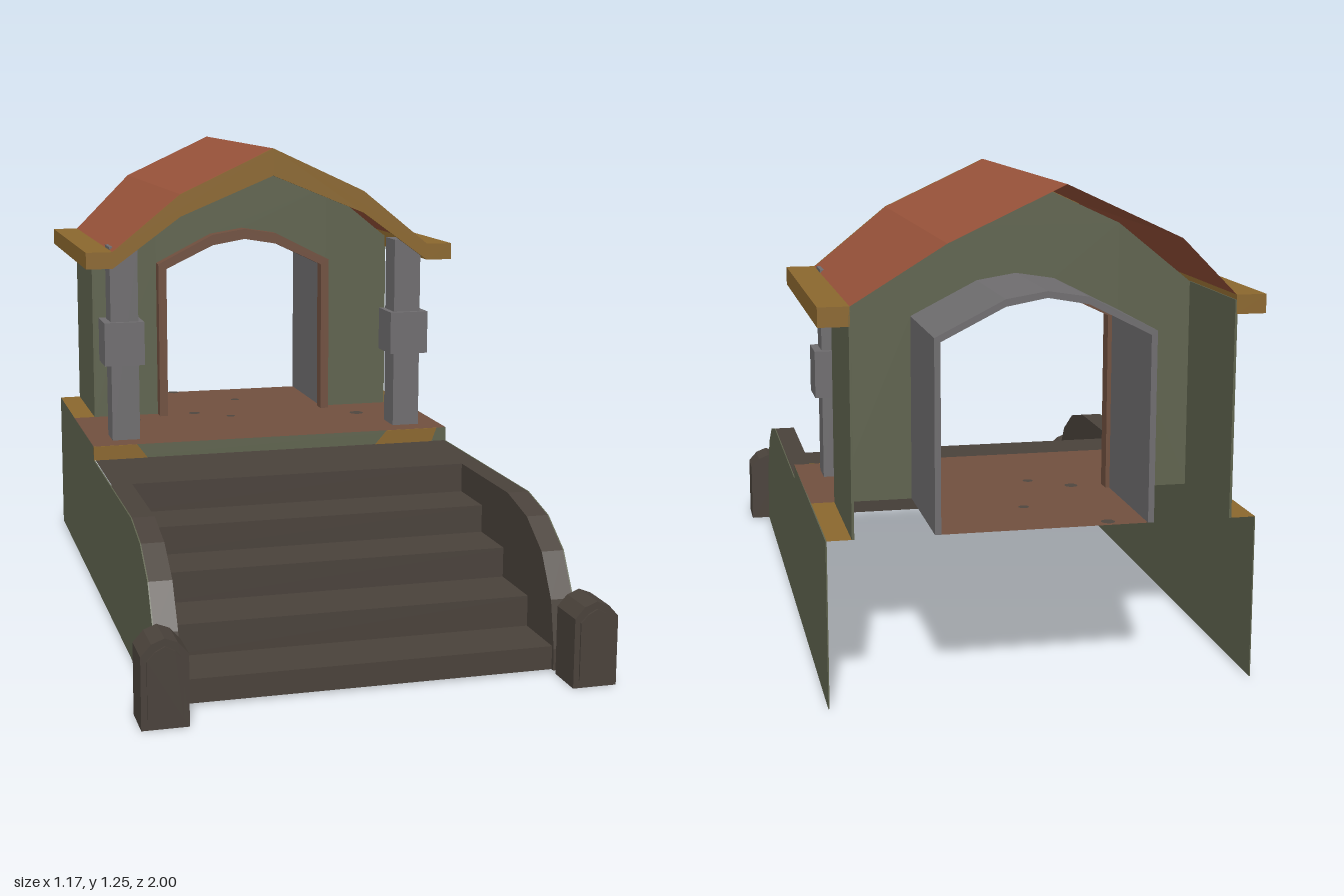
import * as THREE from 'three';

const mat = (name, color) => {
  const m = new THREE.MeshStandardMaterial({ color, side: THREE.DoubleSide });
  m.name = name;
  return m;
};

export function createModel() {
  const root = new THREE.Group();
  root.name = 'porchWithStairs';

  const green = mat('mossGreenPlaster', 0x5f634e);
  const stone = mat('darkStone', 0x4a423b);
  const grey = mat('greyStone', 0x6f6d6f);
  const red = mat('terracottaRoof', 0x99533a);
  const amber = mat('amberTrim', 0x8b672e);
  const floorBrown = mat('brownFloor', 0x71503f);
  const frameBrown = mat('brownDoorFrame', 0x70503f);
  const spotGrey = mat('floorSpots', 0x4f463f);

  const add = (name, geometry, material) => {
    const mesh = new THREE.Mesh(geometry, material);
    mesh.name = name;
    root.add(mesh);
    return mesh;
  };
  // Box given by its extents
  const box = (name, x0, x1, y0, y1, z0, z1, material) => {
    const g = new THREE.BoxGeometry(x1 - x0, y1 - y0, z1 - z0);
    g.translate((x0 + x1) / 2, (y0 + y1) / 2, (z0 + z1) / 2);
    return add(name, g, material);
  };
  // Sheet made of four-cornered faces
  const sheet = (name, quads, material) => {
    const pos = [];
    for (const [a, b, c, d] of quads) pos.push(...a, ...b, ...c, ...a, ...c, ...d);
    const g = new THREE.BufferGeometry();
    g.setAttribute('position', new THREE.Float32BufferAttribute(pos, 3));
    g.computeVertexNormals();
    return add(name, g, material);
  };
  const flat = (x0, x1, z0, z1, y) => [[x0, y, z1], [x1, y, z1], [x1, y, z0], [x0, y, z0]];
  const shape = (pts) => new THREE.Shape(pts.map(([x, y]) => new THREE.Vector2(x, y)));
  const extrude = (s, depth) => new THREE.ExtrudeGeometry(s, { depth, bevelEnabled: false });
  // Front outline pushed along z, with an optional opening
  const alongZ = (name, pts, z0, z1, material, hole) => {
    const s = shape(pts);
    if (hole) s.holes.push(shape(hole));
    return add(name, extrude(s, z1 - z0).translate(0, 0, z0), material);
  };
  // Side outline of (z, y) points pushed along x
  const alongX = (name, pts, x0, x1, material) =>
    add(name, extrude(shape(pts), x1 - x0).rotateY(-Math.PI / 2).translate(x1, 0, 0), material);
  const mirrored = (half) => [...half, ...half.filter(([x]) => x > 0).reverse().map(([x, y]) => [-x, y])];

  // Stairs and landing as one stepped sheet
  const treads = [[0.87, 0.065], [0.71, 0.145], [0.54, 0.225], [0.38, 0.3], [0.22, 0.38]];
  const steps = [[0.87, 0.005]];
  treads.forEach(([z, y], i) => {
    steps.push([z, y]);
    steps.push([i < 4 ? treads[i + 1][0] : -0.08, y]);
  });
  const w = 0.525;
  sheet('stairs', steps.slice(1).map(([z, y], i) => {
    const [pz, py] = steps[i];
    return [[-w, py, pz], [w, py, pz], [w, y, z], [-w, y, z]];
  }), stone);

  // Curved parapets and thin outer walls
  const curve = [[0.88, 0.005], [0.88, 0.06], [0.855, 0.18], [0.79, 0.285], [0.69, 0.35], [0.56, 0.38]];
  const parapet = [...curve, ...steps.slice(0, -1).reverse()];
  const outer = [...curve, [-0.08, 0.38], [-0.08, 0.42], [-0.83, 0.42], [-0.83, 0.005]];

  // Bollard outline
  const arch = (r, bottom, side, top) =>
    mirrored([[r, bottom], [r, side], [r * 0.55, top - 0.012], [0, top]]);

  for (const s of [-1, 1]) {
    const side = s > 0 ? 'left' : 'right';
    const span = (name, a, b, y0, y1, z0, z1, m) =>
      box(side + name, Math.min(s * a, s * b), Math.max(s * a, s * b), y0, y1, z0, z1, m);
    const px = [s * 0.47, s * 0.527].sort((a, b) => a - b);
    alongX(side + 'Parapet', parapet, px[0], px[1], stone);
    const ox = [s * 0.527, s * 0.53].sort((a, b) => a - b);
    alongX(side + 'OuterWall', outer, ox[0], ox[1], green);

    alongZ(side + 'Bollard', arch(0.056, 0, 0.175, 0.215), 0.89, 0.995, stone).position.x = s * 0.528;
    alongZ(side + 'BollardPanel', arch(0.042, 0.02, 0.165, 0.197), 0.995, 1, stone).position.x = s * 0.528;

    span('Column', 0.385, 0.465, 0.42, 0.98, -0.23, -0.145, grey);
    span('ColumnBlock', 0.37, 0.485, 0.64, 0.765, -0.245, -0.13, grey);
    span('Eave', 0.465, 0.54, 0.925, 0.972, -0.83, -0.09, amber);
    span('SideWall', 0.462, 0.468, 0.42, 0.96, -0.83, -0.49, green);
    sheet(side + 'Ledge', [flat(s > 0 ? 0.468 : -0.53, s > 0 ? 0.53 : -0.468, -0.83, -0.49, 0.42)], amber);
  }

  // Porch and passage floor
  sheet('floor', [flat(-0.53, 0.53, -0.49, -0.08, 0.42), flat(-0.27, 0.27, -0.83, -0.49, 0.42)], floorBrown);
  const spots = [[0.01, -0.64], [-0.16, -0.81], [0.33, -0.34], [-0.06, -0.39], [-0.16, -0.46], [-0.36, -0.4]];
  spots.forEach(([x, z], i) => {
    const g = new THREE.CircleGeometry(0.014 + 0.004 * (i % 3), 8).rotateX(-Math.PI / 2);
    add('floorSpot', g.translate(x, 0.423, z), spotGrey);
  });

  // Front edge of the platform with amber ends
  box('platformEdge', -0.53, 0.53, 0.38, 0.42, -0.084, -0.08, green);
  alongZ('rightEdgeTrim', [[-0.53, 0.38], [-0.375, 0.38], [-0.405, 0.42], [-0.53, 0.42]], -0.08, -0.077, amber);
  alongZ('leftEdgeTrim', [[0.31, 0.38], [0.485, 0.38], [0.5, 0.42], [0.345, 0.42]], -0.08, -0.077, amber);

  // Gable wall, door frame and vaulted passage
  const door = mirrored([[0.27, 0.42], [0.27, 0.892], [0.1, 0.978], [0, 0.994]]);
  const doorInner = mirrored([[0.245, 0.42], [0.245, 0.877], [0.1, 0.946], [0, 0.963]]);
  const vaultInner = mirrored([[0.255, 0.42], [0.255, 0.882], [0.1, 0.96], [0, 0.978]]);
  const gable = mirrored([[0.468, 0.42], [0.468, 0.955], [0.27, 1.115], [0, 1.24]]);
  // Arched band with open bottom
  const band = (out, inn) => [...out, ...[...inn].reverse()];
  alongZ('gableWall', band(gable, door), -0.495, -0.49, green);
  alongZ('doorFrame', band(door, doorInner), -0.492, -0.45, frameBrown);
  alongZ('passageVault', band(door, vaultInner), -0.83, -0.495, grey);

  // Roof sheet with clipped back corners
  const roof = [[-0.465, 0.972, -0.83], [-0.27, 1.13, -1], [0, 1.255, -1], [0.27, 1.13, -1], [0.465, 0.972, -0.83]];
  sheet('roof', roof.slice(1).map(([x, y, z], i) => {
    const [ax, ay, az] = roof[i];
    return [[ax, ay, -0.09], [x, y, -0.09], [x, y, z], [ax, ay, az]];
  }), red);

  // Front fascia following the roof
  const fasciaTop = mirrored([[0.54, 0.972], [0.465, 0.972], [0.27, 1.13], [0, 1.255]]);
  const fasciaLow = mirrored([[0.54, 0.925], [0.465, 0.925], [0.27, 1.067], [0, 1.178]]);
  alongZ('roofFascia', band(fasciaTop, fasciaLow), -0.095, -0.087, amber);

  return root;
}
